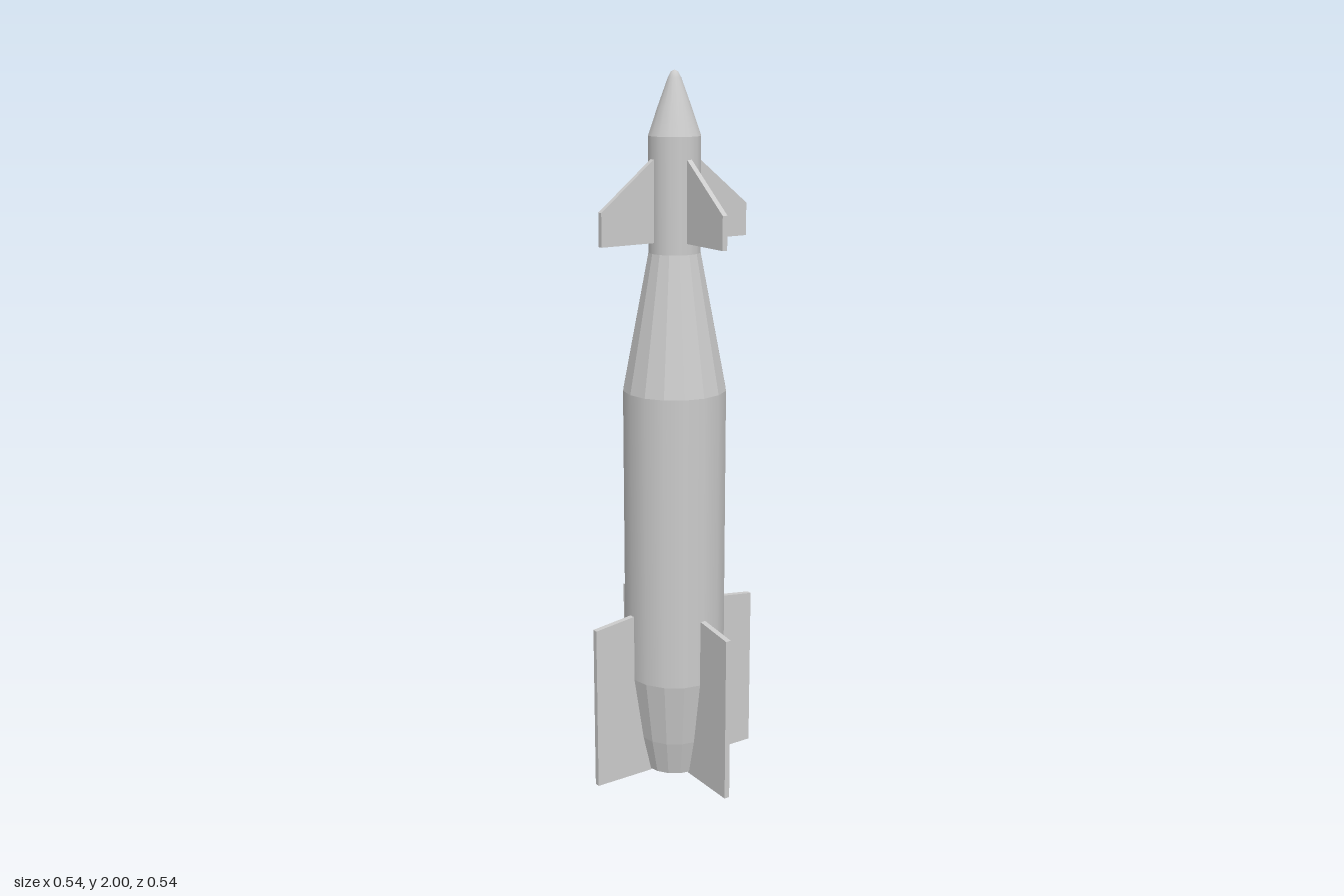
import * as THREE from 'three';

const SIDES = 16;
const smooth = new THREE.MeshStandardMaterial({ color: 0xcccccc, side: THREE.DoubleSide });
const faceted = new THREE.MeshStandardMaterial({ color: 0xcccccc, side: THREE.DoubleSide, flatShading: true });

// One revolved section of the body, from [radius, height] points going up
function section(name, points, material) {
  const profile = points.map(([r, y]) => new THREE.Vector2(r, y));
  const mesh = new THREE.Mesh(new THREE.LatheGeometry(profile, SIDES), material);
  mesh.name = name;
  return mesh;
}

// Four flat fins around the body, from one [radius, height] outline
function finSet(name, outline, thickness) {
  const set = new THREE.Group();
  set.name = name + 's';
  const shape = new THREE.Shape(outline.map(([r, y]) => new THREE.Vector2(r, y)));
  const geometry = new THREE.ExtrudeGeometry(shape, { depth: thickness, bevelEnabled: false });
  geometry.translate(0, 0, -thickness / 2);
  for (let i = 0; i < 4; i++) {
    const fin = new THREE.Mesh(geometry, faceted);
    fin.name = name;
    fin.rotation.y = i * Math.PI / 2;
    set.add(fin);
  }
  return set;
}

export function createModel() {
  const model = new THREE.Group();
  model.name = 'finnedBomb';

  // Body, from the hollow tail up to the rounded nose tip
  model.add(
    section('tailRecess', [[0, 0.1], [0.075, 0.1], [0.075, 0.005], [0.09, 0.005]], faceted),
    section('tailCone', [[0.09, 0.005], [0.115, 0.11], [0.145, 0.3]], faceted),
    section('mainBody', [[0.145, 0.3], [0.145, 1.14]], smooth),
    section('shoulder', [[0.145, 1.14], [0.072, 1.52]], faceted),
    section('neck', [[0.072, 1.52], [0.072, 1.83]], smooth),
    section('noseCone', [[0.072, 1.83], [0.046, 1.905], [0.018, 1.98], [0.01, 1.995], [0, 2]], smooth),
  );

  // Small swept control fins on the neck
  model.add(finSet('controlFin', [[0.06, 1.55], [0.234, 1.55], [0.234, 1.64], [0.072, 1.77], [0.06, 1.78]], 0.015));

  // Large tail fins, whose roots follow the tapering tail
  model.add(finSet('tailFin', [
    [0.083, 0], [0.268, 0], [0.268, 0.478], [0.145, 0.494], [0.135, 0.495], [0.135, 0.3], [0.105, 0.11],
  ], 0.016));

  return model;
}
